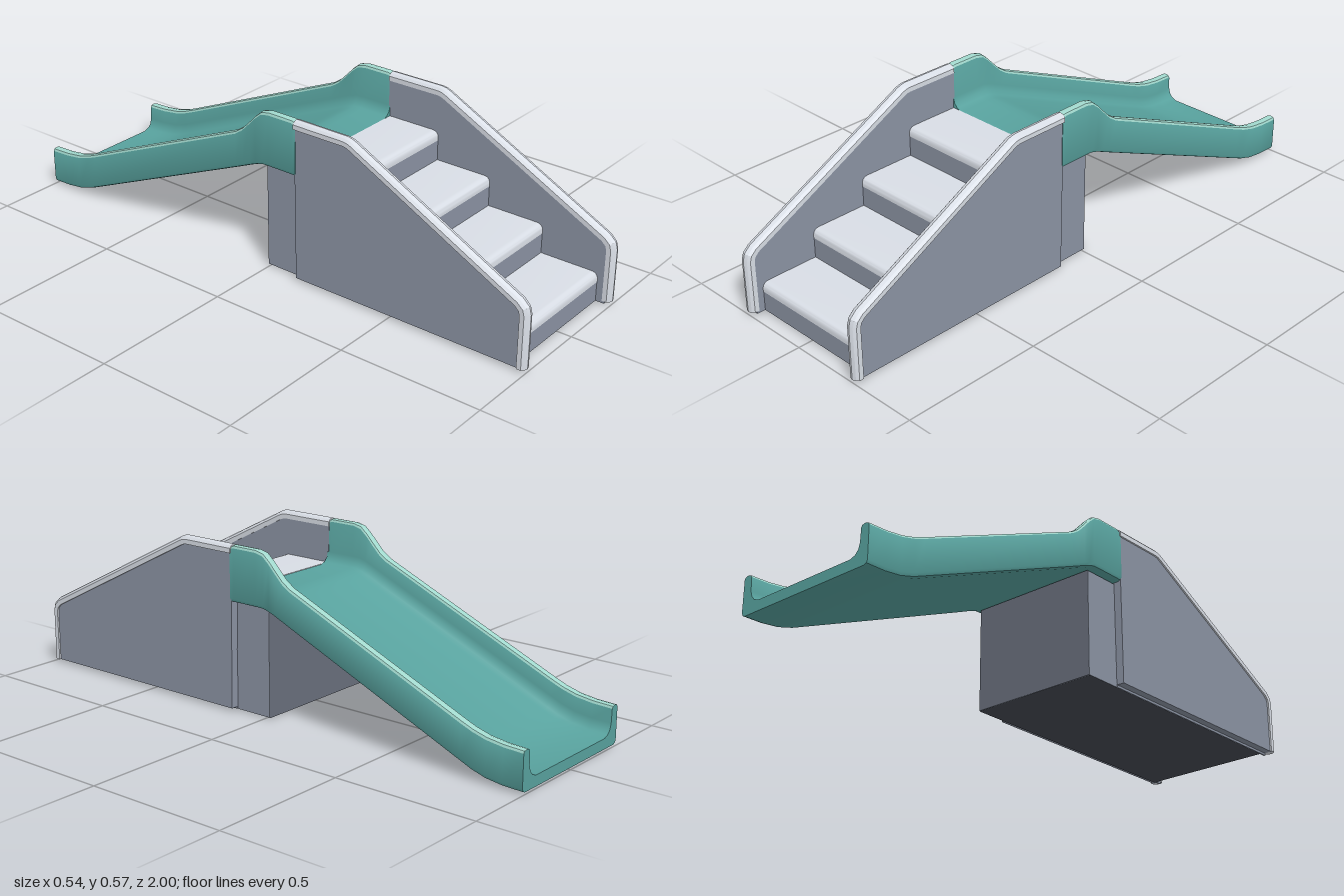
import * as THREE from 'three';
import { toCreasedNormals } from 'three/addons/utils/BufferGeometryUtils.js';

const material = (name, color) => {
  const m = new THREE.MeshStandardMaterial({ color });
  m.name = name;
  return m;
};

// Skins closed cross-sections (counter-clockwise seen with the path going away) and caps both ends.
// profile is the flat outline used for the caps; slot(j) picks the material of side strip j.
function loft(sections, profile, slot, crease) {
  const pos = [];
  const geo = new THREE.BufferGeometry();
  const tri = (...pts) => pts.forEach((p) => pos.push(p.x, p.y, p.z));
  const n = profile.length;
  for (let j = 0; j < n; j++) {
    const start = pos.length / 3;
    const k = (j + 1) % n;
    for (let i = 0; i < sections.length - 1; i++) {
      const s = sections[i], e = sections[i + 1];
      tri(s[j], e[k], s[k]);
      tri(s[j], e[j], e[k]);
    }
    geo.addGroup(start, pos.length / 3 - start, slot(j));
  }
  const start = pos.length / 3;
  const last = sections[sections.length - 1];
  for (const [a, b, c] of THREE.ShapeUtils.triangulateShape(profile, [])) {
    tri(sections[0][a], sections[0][b], sections[0][c]);
    tri(last[a], last[c], last[b]);
  }
  geo.addGroup(start, pos.length / 3 - start, 0);
  geo.setAttribute('position', new THREE.Float32BufferAttribute(pos, 3));
  return toCreasedNormals(geo, crease);
}

// Extrudes a [z, y] outline across x, centred on x = 0.
function sideExtrude(shape, width) {
  const geo = new THREE.ExtrudeGeometry(shape, { depth: width, bevelEnabled: false, curveSegments: 6 });
  geo.rotateY(-Math.PI / 2);
  geo.translate(width / 2, 0, 0);
  return toCreasedNormals(geo, 0.6);
}
const outline = (pts) => new THREE.Shape(pts.map(([z, y]) => new THREE.Vector2(z, y)));

// Shifts an open [z, y] path inwards by d, with mitred corners.
function inset(path, d) {
  const normal = (a, b) => {
    const l = Math.hypot(b[0] - a[0], b[1] - a[1]);
    return [-(b[1] - a[1]) / l, (b[0] - a[0]) / l];
  };
  return path.map((p, i) => {
    const n1 = normal(path[Math.max(i - 1, 0)], path[Math.max(i, 1)]);
    const n2 = i < path.length - 1 ? normal(p, path[i + 1]) : n1;
    const k = d / (1 + n1[0] * n2[0] + n1[1] * n2[1]);
    return [p[0] + (n1[0] + n2[0]) * k, p[1] + (n1[1] + n2[1]) * k];
  });
}

export function createModel() {
  const group = new THREE.Group();
  const bodyGrey = material('body grey', 0x8b93a3);
  const backGrey = material('back grey', 0x696f7c);
  const baseGrey = material('base dark grey', 0x464b54);
  const lightGrey = material('light grey', 0xd8dde5);
  const teal = material('slide teal', 0x58a29e);
  const paleTeal = material('rim teal', 0xa2d9ce);
  const add = (name, geo, mat, x = 0) => {
    const mesh = new THREE.Mesh(geo, mat);
    mesh.name = name;
    mesh.position.x = x;
    group.add(mesh);
  };

  // Stepped body with the block under the platform
  const steps = [0.95, 0.742, 0.535, 0.328, 0.13];
  const rise = 0.103;
  const stair = [[-0.01, 0.002]];
  for (let i = 0; i < 4; i++) {
    const front = steps[i] - 0.001;
    stair.push([front, i ? i * rise - 0.03 : 0.002], [front, (i + 1) * rise - 0.03]);
  }
  stair.push([0.13, 4 * rise - 0.03], [0.13, 0.37], [-0.01, 0.37]);
  add('stairBody', sideExtrude(outline(stair), 0.472), bodyGrey);

  // Dark underside and back face of the body
  add('baseFace', new THREE.PlaneGeometry(0.474, 0.959).rotateX(Math.PI / 2).translate(0, 0, 0.4695), baseGrey);
  add('backFace', new THREE.PlaneGeometry(0.472, 0.369).rotateY(Math.PI).translate(0, 0.1855, -0.012), backGrey);

  // Treads with a rounded lip
  for (let i = 0; i < 4; i++) {
    const front = steps[i], top = rise * (i + 1), back = steps[i + 1] - (i < 3 ? 0.01 : 0);
    const s = new THREE.Shape();
    s.moveTo(back, top - 0.032);
    s.lineTo(front, top - 0.032);
    s.lineTo(front, top - 0.025);
    s.quadraticCurveTo(front, top, front - 0.025, top);
    s.lineTo(back, top);
    add('tread', sideExtrude(s, 0.468), lightGrey);
  }

  // Side panels, their inner linings, and the rails that cap them
  const railPath = [[1, 0.01], [1, 0.195], [0.993, 0.22], [0.97, 0.242],
    [0.355, 0.558], [0.34, 0.564], [0.322, 0.567], [0.125, 0.567]];
  const edge = inset(railPath, 0.02);
  const panelGeo = sideExtrude(outline([...edge, [0.13, 0.01]]), 0.028);
  const liningGeo = sideExtrude(outline([[edge[0][0], 0.002], ...edge, [0.13, 0.002]]), 0.006);
  const railProfile = [[-0.02, 0.028], [0.02, 0.028], [0.02, 0.012], [0.0125, 0.004],
    [0, 0], [-0.0125, 0.004], [-0.02, 0.012]].map(([x, d]) => new THREE.Vector2(x, -d));
  const rings = railProfile.map((p) => inset(railPath, -p.y));
  const railSections = railPath.map((_, i) =>
    railProfile.map((p, j) => new THREE.Vector3(p.x, rings[j][i][1], rings[j][i][0])));
  const railGeo = loft(railSections, railProfile, () => 0, 0.3);
  for (const side of [1, -1]) {
    const name = side > 0 ? 'left' : 'right';
    add(name + 'Panel', panelGeo, bodyGrey, side * 0.25);
    add(name + 'Lining', liningGeo, bodyGrey, side * 0.2345);
    add(name + 'Rail', railGeo, [lightGrey], side * 0.25);
  }

  // Slide: a U section, each point measured from the underside (0), floor (1) or wall top (2)
  const half = [[0.252, 0, 0], [0.262, 0.004, 0], [0.266, 0.014, 0], [0.266, -0.01, 2], [0.262, -0.003, 2],
    [0.25, 0, 2], [0.238, -0.003, 2], [0.234, -0.01, 2], [0.232, 0.04, 1], [0.226, 0.02, 1],
    [0.214, 0.007, 1], [0.195, 0, 1]];
  const section = [...half, ...half.map(([x, d, r]) => [-x, d, r]).reverse()];
  const stations = [[0.13, 0.374, 0.56], [0.115, 0.374, 0.566], [0.02, 0.374, 0.566], [-0.01, 0.373, 0.559],
    [-0.035, 0.366, 0.538], [-0.06, 0.356, 0.512], [-0.09, 0.343, 0.482], [-0.12, 0.33, 0.462],
    [-0.78, 0.049, 0.18], [-0.82, 0.032, 0.164], [-0.87, 0.017, 0.15], [-0.93, 0.009, 0.142], [-1, 0.007, 0.139]];
  const place = (yb, yt) => section.map(([x, d, r]) => new THREE.Vector2(x, d + [yb, yb + 0.036, yt][r]));
  const slideSections = stations.map(([z, yb, yt]) => place(yb, yt).map((p) => new THREE.Vector3(p.x, p.y, z)));
  const isRim = (j) => [3, 4, 5, 6].includes(Math.min(j, section.length - 2 - j));
  add('slide', loft(slideSections, place(0, 0.13), (j) => (isRim(j) ? 1 : 0), 0.7), [teal, paleTeal]);

  return group;
}
